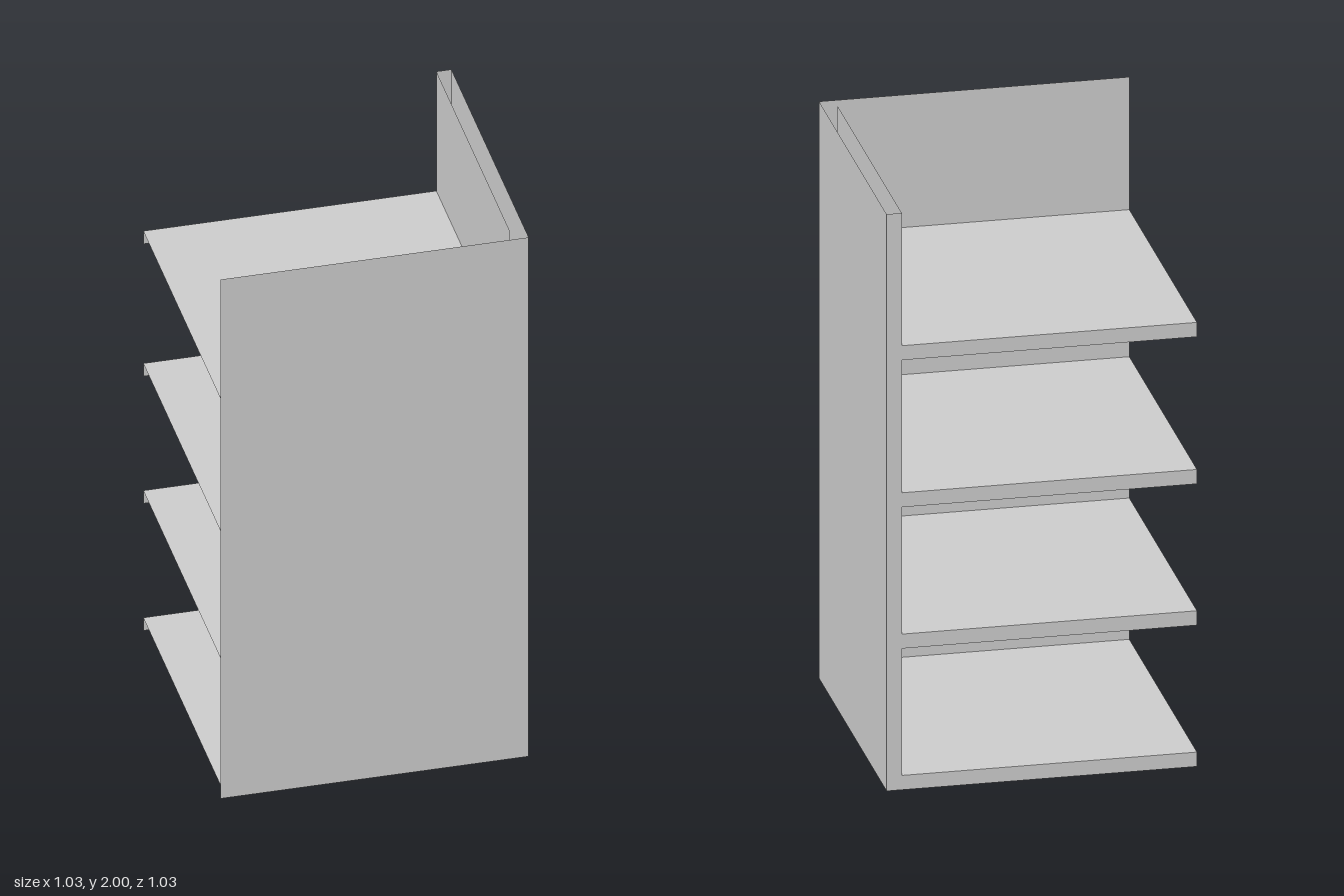
import * as THREE from 'three';

const H = 0.513;                       // half width and half depth
const T = 0.05;                        // board thickness
const TOP = 2;
const FLOORS = [0.05, 0.54, 1.03, 1.54]; // upper surface of each shelf
const material = new THREE.MeshStandardMaterial({ color: 0xcccccc, side: THREE.DoubleSide, flatShading: true });

export function createModel() {
  const group = new THREE.Group();

  // flat sheet: size, centre and rotation about x and y
  function sheet(name, w, h, pos, rx = 0, ry = 0) {
    const mesh = new THREE.Mesh(new THREE.PlaneGeometry(w, h), material);
    mesh.name = name;
    mesh.position.set(...pos);
    mesh.rotation.set(rx, ry, 0);
    group.add(mesh);
  }

  // outer sheets of the two closed sides
  sheet('frontPanel', 2 * H, TOP, [0, TOP / 2, H]);
  sheet('sidePanel', 2 * H, TOP, [H, TOP / 2, 0], 0, Math.PI / 2);

  FLOORS.forEach((y, i) => {
    // shelf surface, open beneath
    sheet('shelf', 2 * H - T, 2 * H, [-T / 2, y, 0], -Math.PI / 2);
    // inner wall of the bay above, stopping short of the front panel
    const end = i + 1 < FLOORS.length ? FLOORS[i + 1] - T : TOP;
    sheet('innerSideWall', 2 * H - T, end - y, [H - T, (y + end) / 2, -T / 2], 0, -Math.PI / 2);
  });

  // comb-shaped back edge: upright strip with one lip per shelf
  const comb = new THREE.Shape();
  comb.moveTo(H, 0);
  comb.lineTo(H, TOP);
  comb.lineTo(H - T, TOP);
  for (const y of [...FLOORS].reverse()) {
    comb.lineTo(H - T, y);
    comb.lineTo(-H, y);
    comb.lineTo(-H, y - T);
    if (y > T) comb.lineTo(H - T, y - T);
  }
  comb.closePath();
  const edge = new THREE.ShapeGeometry(comb);
  // turn the face towards the back
  edge.scale(-1, 1, 1).rotateY(Math.PI).translate(0, 0, -H);
  const index = edge.index.array;
  for (let i = 0; i < index.length; i += 3) [index[i], index[i + 1]] = [index[i + 1], index[i]];
  edge.computeVertexNormals();
  const backEdge = new THREE.Mesh(edge, material);
  backEdge.name = 'backEdge';
  group.add(backEdge);

  return group;
}
